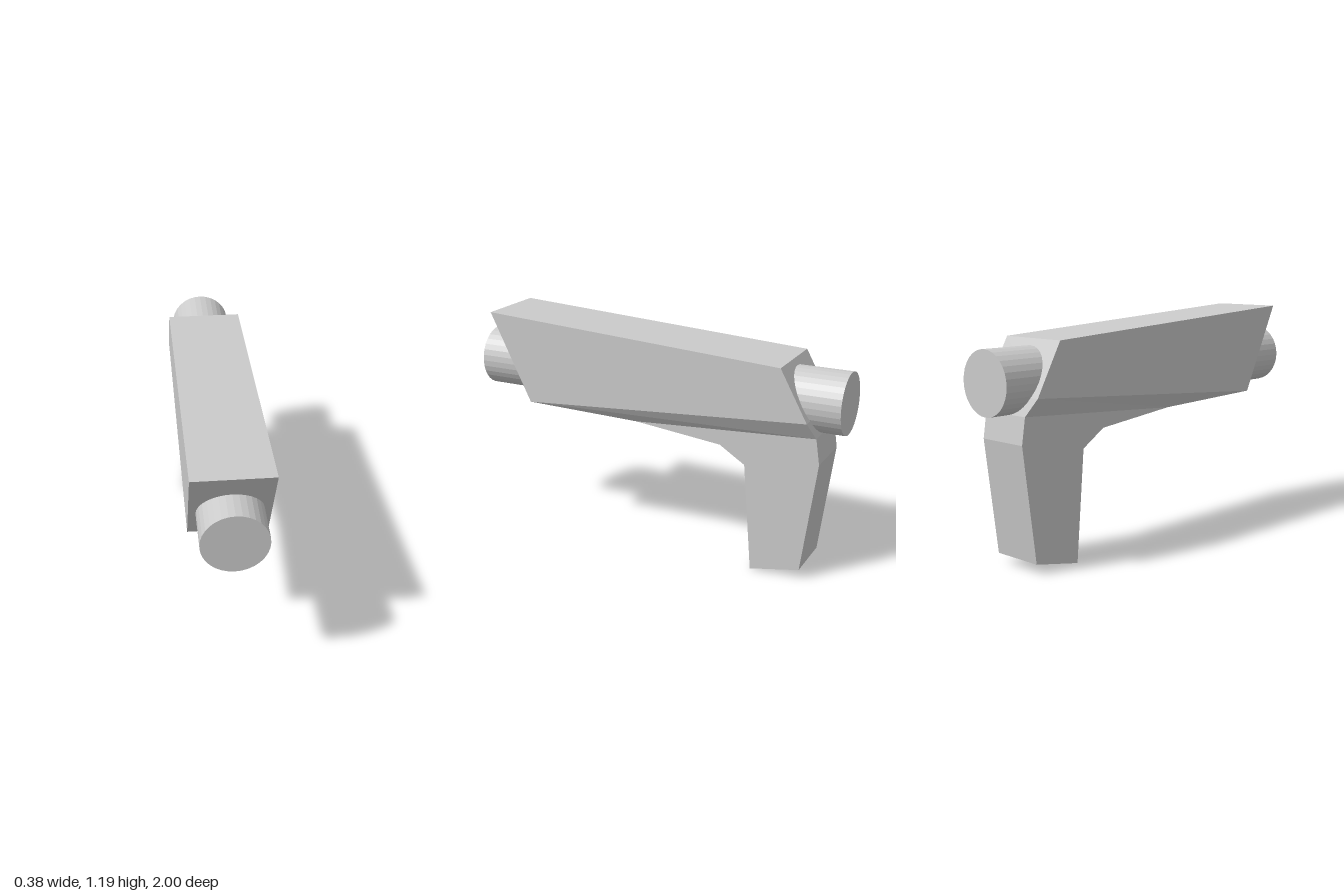
import * as THREE from 'three';

const material = new THREE.MeshStandardMaterial({ color: 0xcccccc, flatShading: true });

// Lofts four-cornered rings from top to bottom.
// Each ring: [half width, front z, front y, back z, back y]
function loft(name, rings, capTop, capBottom) {
  const positions = [];
  const quad = (a, b, c, d) => positions.push(...a, ...b, ...c, ...a, ...c, ...d);
  const loops = rings.map(([w, fz, fy, bz, by]) => [
    [w, fy, fz], [w, by, bz], [-w, by, bz], [-w, fy, fz],
  ]);
  for (let r = 0; r < loops.length - 1; r++) {
    const a = loops[r], b = loops[r + 1];
    for (let i = 0; i < 4; i++) {
      const j = (i + 1) % 4;
      quad(a[i], b[i], b[j], a[j]);
    }
  }
  if (capTop) quad(...loops[0]);
  if (capBottom) quad(...[...loops[loops.length - 1]].reverse());

  const geometry = new THREE.BufferGeometry();
  geometry.setAttribute('position', new THREE.Float32BufferAttribute(positions, 3));
  geometry.computeVertexNormals();
  const mesh = new THREE.Mesh(geometry, material);
  mesh.name = name;
  return mesh;
}

export function createModel() {
  const group = new THREE.Group();
  group.name = 'handheldDevice';

  // Slanted housing, narrowing along its lower edge to the grip width
  const waist = [0.14, 0.08, 0.695, -0.885, 0.755];
  group.add(loft('housing', [
    [0.19, 0.912, 1.19, -0.71, 1.095],
    [0.19, 0.685, 0.727, -0.85, 0.84],
    waist,
  ], true, false));

  // Underside and tapered grip
  group.add(loft('grip', [
    waist,
    [0.14, -0.39, 0.645, -0.895, 0.69],
    [0.14, -0.523, 0.56, -0.905, 0.625],
    [0.14, -0.57, 0, -0.83, 0.05],
  ], false, true));

  // Round barrel running through the housing
  const barrel = new THREE.Mesh(new THREE.CylinderGeometry(0.156, 0.156, 2, 32), material);
  barrel.name = 'barrel';
  barrel.rotation.x = Math.PI / 2;
  barrel.position.y = 0.907;
  group.add(barrel);

  return group;
}
